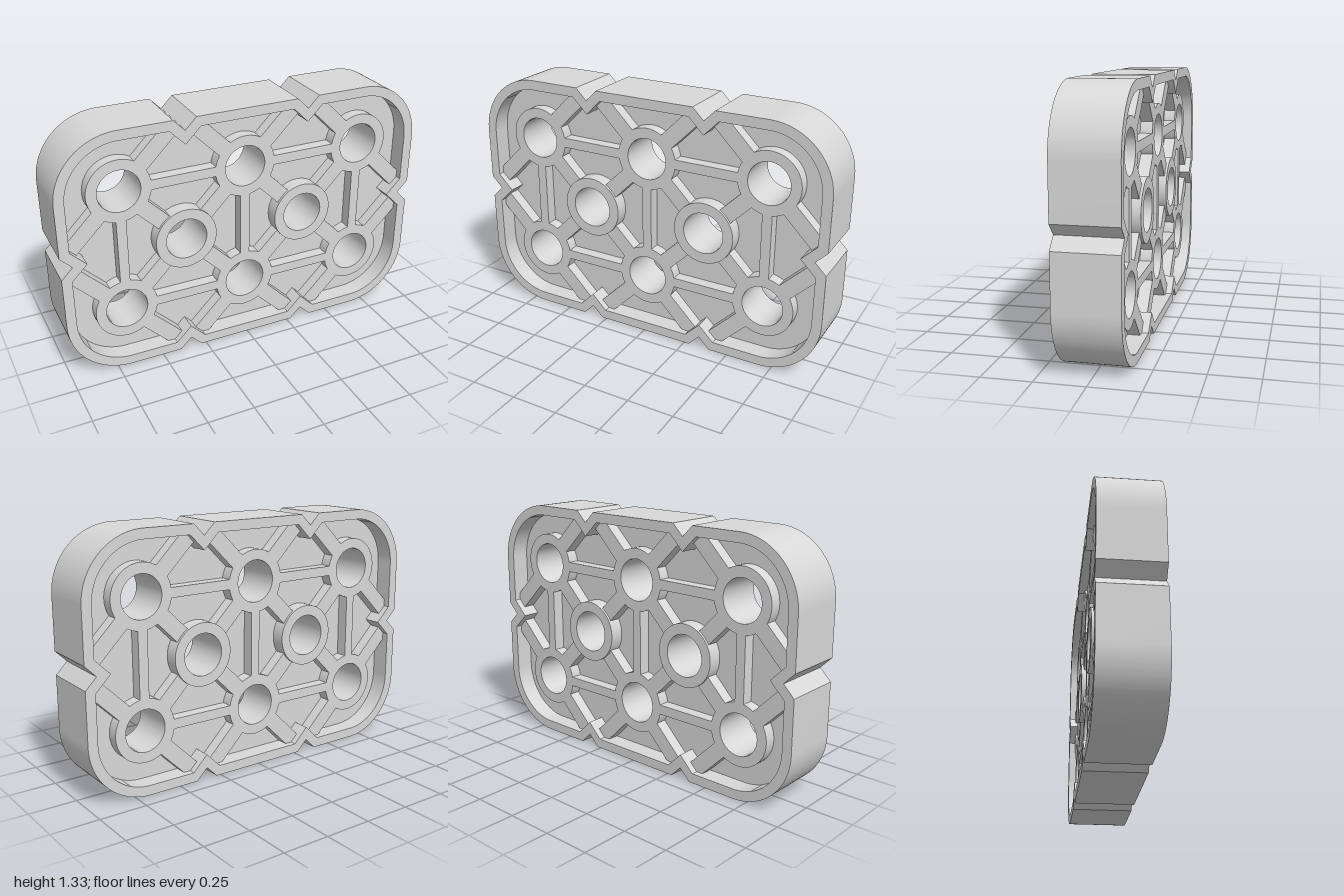
import * as THREE from 'three';
import { toCreasedNormals } from 'three/addons/utils/BufferGeometryUtils.js';

const P = 0.336;            // grid pitch
const R = 0.328;            // corner radius
const W = 1, H = 2 * R / 2 + P;   // half width and half height
const HALF = 0.16;          // half thickness of the rim
const FLOOR = 0.062;        // half thickness of the recessed web
const RIB = 0.125;          // half thickness of the ribs and outer bosses
const MIDDLE = 0.138;       // half thickness of the middle bosses
const HOLE = 0.111, BOSS = 0.166, WALL = 0.052;

// Rounded rectangle, inset by d, with V notches of half-width v cut in its edges
function outline(path, d, v) {
  const w = W - d, h = H - d, r = R - d, c = 2 * P, k = P;
  path.moveTo(-c, -h);
  for (const x of [-P, P]) {
    path.lineTo(x - v, -h);
    path.lineTo(x, -h + v);
    path.lineTo(x + v, -h);
  }
  path.lineTo(c, -h);
  path.absarc(c, -k, r, -Math.PI / 2, 0, false);
  path.lineTo(w, -v);
  path.lineTo(w - v, 0);
  path.lineTo(w, v);
  path.absarc(c, k, r, 0, Math.PI / 2, false);
  for (const x of [P, -P]) {
    path.lineTo(x + v, h);
    path.lineTo(x, h - v);
    path.lineTo(x - v, h);
  }
  path.lineTo(-c, h);
  path.absarc(-c, k, r, Math.PI / 2, Math.PI, false);
  path.lineTo(-w, v);
  path.lineTo(-w + v, 0);
  path.lineTo(-w, -v);
  path.absarc(-c, -k, r, Math.PI, Math.PI * 1.5, false);
  return path;
}

function circle(path, x, y, r) {
  path.absarc(x, y, r, 0, Math.PI * 2, false);
  return path;
}

export function createModel() {
  const model = new THREE.Group();
  model.name = 'perforatedPlate';
  const grey = new THREE.MeshStandardMaterial({ color: 0xd8d8d8 });
  grey.name = 'lightGrey';

  function add(name, geometry, x = 0, y = 0) {
    const mesh = new THREE.Mesh(geometry, grey);
    mesh.name = name;
    mesh.position.set(x, y + H, 0);
    model.add(mesh);
    return mesh;
  }

  function slab(shape, half) {
    const g = new THREE.ExtrudeGeometry(shape, { depth: half * 2, bevelEnabled: false, curveSegments: 32 });
    g.translate(0, 0, -half);
    return toCreasedNormals(g, 0.5);
  }

  // Bar between two points, trimmed at both ends
  function rib(name, a, b, width, trimA, trimB) {
    const dx = b[0] - a[0], dy = b[1] - a[1], len = Math.hypot(dx, dy);
    const mid = (trimA + len - trimB) / 2 / len;
    const mesh = add(name, new THREE.BoxGeometry(len - trimA - trimB, width, RIB * 2),
      a[0] + dx * mid, a[1] + dy * mid);
    mesh.rotation.z = Math.atan2(dy, dx);
  }

  // Hole layout: two rows of three, two in the middle row
  const outer = [];
  for (const y of [-P, P]) for (const x of [-2 * P, 0, 2 * P]) outer.push([x, y]);
  const middle = [[-P, 0], [P, 0]];
  const notches = [[-P, 2 * P], [P, 2 * P], [-P, -2 * P], [P, -2 * P], [-3 * P, 0], [3 * P, 0]];

  // Notched rim wall, keeping its thickness around each notch
  const rim = outline(new THREE.Shape(), 0, 0.06);
  rim.holes.push(outline(new THREE.Path(), WALL, 0.06 + WALL * (Math.SQRT2 - 1)));
  add('rim', slab(rim, HALF));

  // Recessed web, its edge buried in the rim
  const web = outline(new THREE.Shape(), 0.02, 0.07);
  for (const [x, y] of [...outer, ...middle]) {
    web.holes.push(circle(new THREE.Path(), x, y, (HOLE + BOSS) / 2));
  }
  add('web', slab(web, FLOOR));

  // Bosses around the holes
  const ring = circle(new THREE.Shape(), 0, 0, BOSS);
  ring.holes.push(circle(new THREE.Path(), 0, 0, HOLE));
  const outerRing = slab(ring, RIB), middleRing = slab(ring, MIDDLE);
  for (const [x, y] of outer) add('outerBoss', outerRing, x, y);
  for (const [x, y] of middle) add('middleBoss', middleRing, x, y);

  // Thin straight ribs between the outer holes
  for (const a of outer) {
    for (const b of outer) {
      const across = Math.abs(b[0] - a[0] - 2 * P) < 0.01 && a[1] === b[1];
      const up = a[0] === b[0] && b[1] > a[1];
      if (across || up) rib('straightRib', a, b, 0.052, 0.15, 0.15);
    }
  }

  // Wider diagonal ribs from the outer holes to the middle holes and notches
  for (const a of outer) {
    for (const b of [...middle, ...notches]) {
      if (Math.hypot(b[0] - a[0], b[1] - a[1]) > 0.5) continue;
      rib('diagonalRib', a, b, 0.085, 0.15, middle.includes(b) ? 0.15 : 0.07);
    }
  }
  return model;
}
